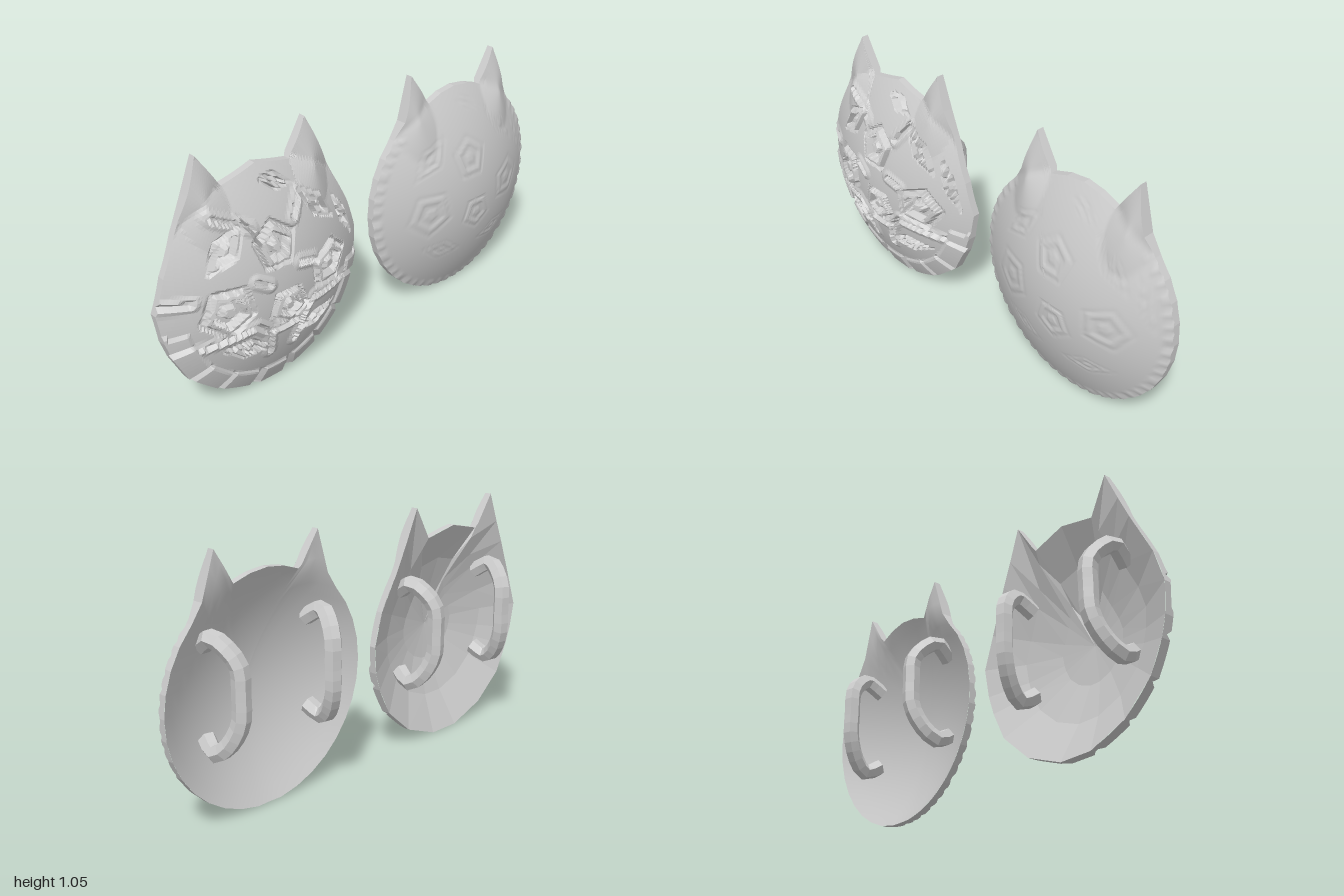
import * as THREE from 'three';

const CY = 0.475, R = 0.475;
const { lerp, clamp } = THREE.MathUtils;

// Right half of each eared outline, top to bottom
const carvedHalf = [[0, 0.945], [0.155, 0.91], [0.245, 1.05], [0.3, 0.92], [0.345, 0.82], [0.43, 0.64],
  [0.475, 0.5], [0.46, 0.38], [0.435, 0.3], [0.375, 0.18], [0.245, 0.065], [0.075, 0]];
const smoothHalf = [[0, 0.945], [0.08, 0.935], [0.155, 0.91], [0.245, 1.05], [0.3, 0.87]];
for (let i = 0; i <= 12; i++) {
  const a = lerp(0.755, -Math.PI / 2 + 0.12, i / 12);
  smoothHalf.push([R * Math.cos(a), CY + R * Math.sin(a)]);
}

// Mirror the half outline into a counter-clockwise loop and split long edges
function outline(half, step) {
  const loop = [...half, ...half.slice(1).reverse().map(([x, y]) => [-x, y])].reverse();
  return loop.flatMap((p, i) => {
    const q = loop[(i + 1) % loop.length];
    const n = Math.max(1, Math.round(Math.hypot(q[0] - p[0], q[1] - p[1]) / step));
    return Array.from({ length: n }, (_, k) => [lerp(p[0], q[0], k / n), lerp(p[1], q[1], k / n)]);
  });
}

// Piecewise linear profile
function ramp(stops, d) {
  for (let i = 1; i < stops.length; i++) {
    const [a, u] = stops[i - 1], [b, v] = stops[i];
    if (d <= b) return lerp(u, v, clamp((d - a) / (b - a), 0, 1));
  }
  return 0;
}

const radius = (x, y) => Math.hypot(x, y - CY) / R;
const rimZ = y => 0.025 - 0.03 * y;
const dome = (x, y) => rimZ(y) + 0.145 * Math.max(0, 1 - radius(x, y) ** 2);
const ear = (x, y) => 0.04 * Math.max(0, 1 - Math.hypot((Math.abs(x) - 0.245) * 1.8, y - 0.87) / 0.17);

// Carved cells: x, y, half width, half height, sides, turn
const cells = [
  [-0.015, 0.66, 0.1, 0.1, 5, 0.3], [-0.235, 0.46, 0.115, 0.11, 5, 0.9], [0.015, 0.4, 0.095, 0.085, 5, -0.3],
  [0.245, 0.475, 0.115, 0.1, 5, 0.1], [-0.21, 0.7, 0.12, 0.055, 4, 0.75], [0.22, 0.73, 0.13, 0.04, 4, -0.8],
  [0.05, 0.87, 0.07, 0.03, 4, -0.35], [-0.16, 0.26, 0.11, 0.045, 4, -0.25], [0.17, 0.25, 0.12, 0.04, 4, 0.15],
  [0.37, 0.62, 0.12, 0.025, 4, -1.1]];
const cellProfile = [[0, 0.006], [0.22, 0.006], [0.3, -0.02], [0.52, -0.02], [0.6, 0.014], [0.8, 0.01],
  [0.86, -0.016], [0.98, -0.012], [1.06, 0]];
// Seams linking the cells: x1, y1, x2, y2
const seams = [[-0.13, 0.36, -0.07, 0.31], [-0.07, 0.31, 0.09, 0.31], [0.09, 0.31, 0.14, 0.38], [0.14, 0.37, 0.36, 0.35],
  [-0.13, 0.36, -0.4, 0.31], [-0.36, 0.53, -0.46, 0.53], [-0.12, 0.55, -0.07, 0.52], [0.08, 0.56, 0.15, 0.54],
  [0.09, 0.73, 0.14, 0.8], [-0.1, 0.75, -0.25, 0.83], [-0.07, 0.31, -0.06, 0.2], [0.09, 0.31, 0.06, 0.2]];

function cellRelief(x, y) {
  for (const [cx, cy, w, h, n, turn] of cells) {
    const dx = x - cx, dy = y - cy, c = Math.cos(turn), s = Math.sin(turn);
    const u = (dx * c + dy * s) / w, v = (dy * c - dx * s) / h;
    let d = 0;
    for (let k = 0; k < n; k++) {
      const a = (k + 0.5) * 2 * Math.PI / n;
      d = Math.max(d, u * Math.cos(a) + v * Math.sin(a));
    }
    d /= Math.cos(Math.PI / n);
    if (d < 1.06) return ramp(cellProfile, d);
  }
  return 0;
}

function seamRelief(x, y) {
  let best = 1;
  for (const [ax, ay, bx, by] of seams) {
    const ex = bx - ax, ey = by - ay;
    const t = clamp(((x - ax) * ex + (y - ay) * ey) / (ex * ex + ey * ey), 0, 1);
    best = Math.min(best, Math.hypot(x - ax - t * ex, y - ay - t * ey));
  }
  return ramp([[0, -0.014], [0.008, -0.014], [0.013, 0.009], [0.022, 0.007], [0.035, 0]], best);
}

// Blocks round the lower rim, parted by radial grooves
function rimBlocks(x, y, count, inner, height) {
  const r = radius(x, y);
  if (r < inner || r > 1.02) return 0;
  const a = (Math.atan2(y - CY, x) / (2 * Math.PI) + 1) * count;
  const gap = Math.abs(a - Math.round(a)) / count * 2 * Math.PI * R;
  return height * (gap < 0.01 ? -0.8 : 1) * clamp((r - inner) / 0.03, 0, 1);
}

const carvedFront = (x, y) => dome(x, y) + ear(x, y)
  + (y < 0.4 && radius(x, y) > 0.8 ? rimBlocks(x, y, 18, 0.8, 0.011) : cellRelief(x, y) || seamRelief(x, y));
const smoothFront = (x, y) => dome(x, y) + ear(x, y)
  + 0.12 * cellRelief(x, y) + (y < 0.8 ? rimBlocks(x, y, 52, 0.92, 0.004) : 0);
const backZ = (x, y) => dome(x, y) - 0.03;

// Surface of rings from the centre to the outline, with z given by a rule
function sheet(loop, rings, z, flip) {
  const n = loop.length, pos = [0, CY, z(0, CY)], index = [];
  const id = (i, j) => i === 0 ? 0 : 1 + (i - 1) * n + j % n;
  const tri = (a, b, c) => flip ? index.push(a, c, b) : index.push(a, b, c);
  for (let i = 1; i <= rings; i++) for (const [px, py] of loop) {
    const x = px * i / rings, y = lerp(CY, py, i / rings);
    pos.push(x, y, z(x, y));
  }
  for (let i = 0; i < rings; i++) for (let j = 0; j < n; j++) {
    tri(id(i, j), id(i + 1, j), id(i + 1, j + 1));
    if (i) tri(id(i, j), id(i + 1, j + 1), id(i, j + 1));
  }
  return toGeometry(pos, index);
}

// Edge wall joining front and back
function wall(loop, front) {
  const pos = [], index = [], n = loop.length;
  for (const [x, y] of loop) pos.push(x, y, front(x, y), x, y, backZ(x, y));
  for (let j = 0; j < n; j++) {
    const a = 2 * j, b = 2 * ((j + 1) % n);
    index.push(a, a + 1, b + 1, a, b + 1, b);
  }
  return toGeometry(pos, index);
}

function toGeometry(pos, index) {
  const g = new THREE.BufferGeometry();
  g.setAttribute('position', new THREE.Float32BufferAttribute(pos, 3));
  g.setIndex(index);
  g.computeVertexNormals();
  return g;
}

const smoothMat = new THREE.MeshStandardMaterial({ color: 0xcccccc });
const flatMat = new THREE.MeshStandardMaterial({ color: 0xcccccc, flatShading: true });

function add(group, name, geometry, material) {
  const mesh = new THREE.Mesh(geometry, material);
  mesh.name = name;
  group.add(mesh);
}

// D-shaped grip behind the shield
function handle(side) {
  const path = [[0.25, 0.69, 0.045], [0.265, 0.735, -0.03], [0.25, 0.71, -0.08], [0.228, 0.645, -0.128],
    [0.225, 0.54, -0.132], [0.228, 0.43, -0.128], [0.25, 0.335, -0.08], [0.265, 0.295, -0.02], [0.25, 0.33, 0.045]];
  const curve = new THREE.CatmullRomCurve3(path.map(([x, y, z]) => new THREE.Vector3(side * x, y, z)));
  return new THREE.TubeGeometry(curve, 18, 0.036, 6);
}

function shield(name, x, half, front, frontMat, backStep, backRings) {
  const g = new THREE.Group();
  g.name = name;
  g.position.x = x;
  const fine = outline(half, 0.018);
  add(g, 'frontFace', sheet(fine, 52, front, false), frontMat);
  add(g, 'hollowBack', sheet(outline(half, backStep), backRings, backZ, true), frontMat);
  add(g, 'rimEdge', wall(fine, front), flatMat);
  add(g, 'leftHandle', handle(1), flatMat);
  add(g, 'rightHandle', handle(-1), flatMat);
  return g;
}

export function createModel() {
  const model = new THREE.Group();
  model.name = 'earedShields';
  model.add(shield('carvedShield', -0.525, carvedHalf, carvedFront, flatMat, 1, 3));
  model.add(shield('smoothShield', 0.525, smoothHalf, smoothFront, smoothMat, 0.07, 10));
  return model;
}
